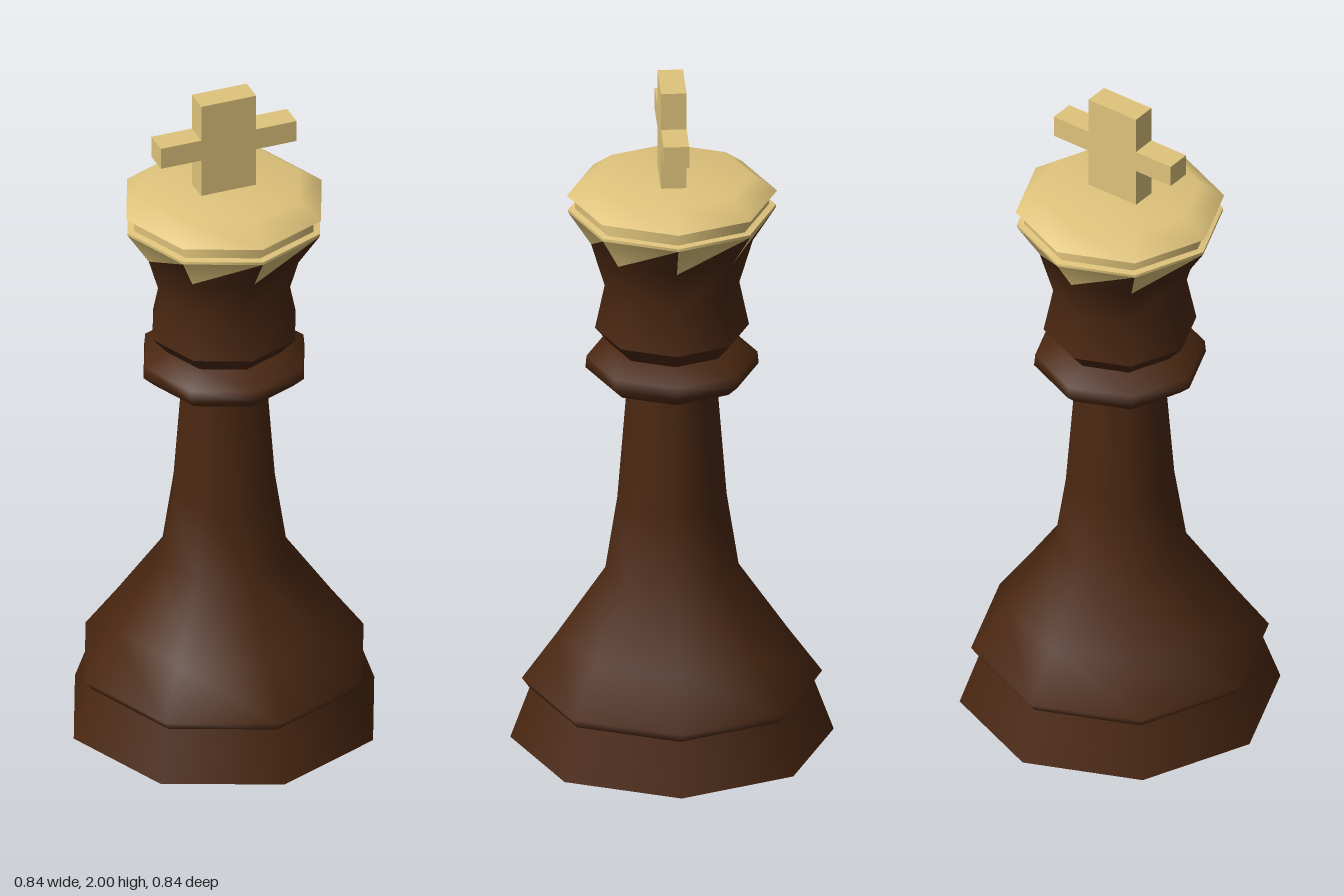
import * as THREE from 'three';

const SIDES = 8;
const HALF_STEP = Math.PI / SIDES;

const darkWood = new THREE.MeshStandardMaterial({ color: 0x4a2711 });
darkWood.name = 'dark wood';
const cream = new THREE.MeshStandardMaterial({ color: 0xe0c47c });
cream.name = 'cream';

// Octagonal turning; the profile lists [distance to flat side, height] from bottom to top
function turnedGeometry(profile) {
  const points = profile.map(([r, y]) => new THREE.Vector2(r / Math.cos(HALF_STEP), y));
  return new THREE.LatheGeometry(points, SIDES, HALF_STEP);
}

// One named part made of several strips, with a sharp edge between strips
function turnedPart(name, material, strips) {
  const part = new THREE.Group();
  part.name = name;
  strips.forEach((profile, i) => {
    const mesh = new THREE.Mesh(turnedGeometry(profile), material);
    mesh.name = `${name}Strip${i + 1}`;
    part.add(mesh);
  });
  return part;
}

// Flared head whose top row is split diagonally into cream and dark teeth
function crownHead() {
  const profile = [[0.2, 1.25], [0.175, 1.38], [0.21, 1.507], [0.27, 1.607]];
  const geometry = turnedGeometry(profile);
  const n = profile.length;
  const dark = [];
  const light = [];
  for (let i = 0; i < SIDES; i++) {
    for (let j = 0; j < n - 1; j++) {
      const bl = i * n + j, tl = bl + 1, br = bl + n, tr = br + 1;
      dark.push(bl, br, tr);
      (j === n - 2 ? light : dark).push(bl, tr, tl);
    }
  }
  geometry.setIndex([...dark, ...light]);
  geometry.addGroup(0, dark.length, 0);
  geometry.addGroup(dark.length, light.length, 1);
  const mesh = new THREE.Mesh(geometry, [darkWood, cream]);
  mesh.name = 'crownHead';
  return mesh;
}

// Flat cross outline extruded and turned to line up with the octagon corners
function crossFinial() {
  const post = 0.083, arm = 0.205, low = 1.825, high = 1.89, depth = 0.072;
  const right = [[post, 1.7], [post, low], [arm, low], [arm, high], [post, high], [post, 2]];
  const left = right.map(([x, y]) => [-x, y]).reverse();
  const shape = new THREE.Shape([...right, ...left].map(([x, y]) => new THREE.Vector2(x, y)));
  const geometry = new THREE.ExtrudeGeometry(shape, { depth, bevelEnabled: false });
  geometry.translate(0, 0, -depth / 2);
  const mesh = new THREE.Mesh(geometry, cream);
  mesh.name = 'crossFinial';
  mesh.rotation.y = HALF_STEP;
  return mesh;
}

export function createModel() {
  const model = new THREE.Group();
  model.name = 'chessKing';

  model.add(
    turnedPart('base', darkWood, [
      [[0, 0], [0.42, 0]],
      [[0.42, 0], [0.37, 0.15]],
    ]),
    turnedPart('body', darkWood, [
      [[0.37, 0.15], [0.39, 0.18], [0.3, 0.315], [0.173, 0.515], [0.142, 0.73], [0.115, 1.1]],
    ]),
    turnedPart('collar', darkWood, [
      [[0.11, 1.1], [0.195, 1.1]],
      [[0.195, 1.1], [0.225, 1.13], [0.222, 1.165], [0.16, 1.2]],
      [[0.16, 1.2], [0.2, 1.25]],
    ]),
    crownHead(),
    // Cream lip, recessed band and shallow cap
    turnedPart('crownCap', cream, [
      [[0.27, 1.607], [0.27, 1.615]],
      [[0.27, 1.615], [0.252, 1.618]],
      [[0.252, 1.618], [0.252, 1.648]],
      [[0.252, 1.648], [0.273, 1.658]],
      [[0.273, 1.658], [0.21, 1.708], [0, 1.71]],
    ]),
    crossFinial(),
  );
  return model;
}
